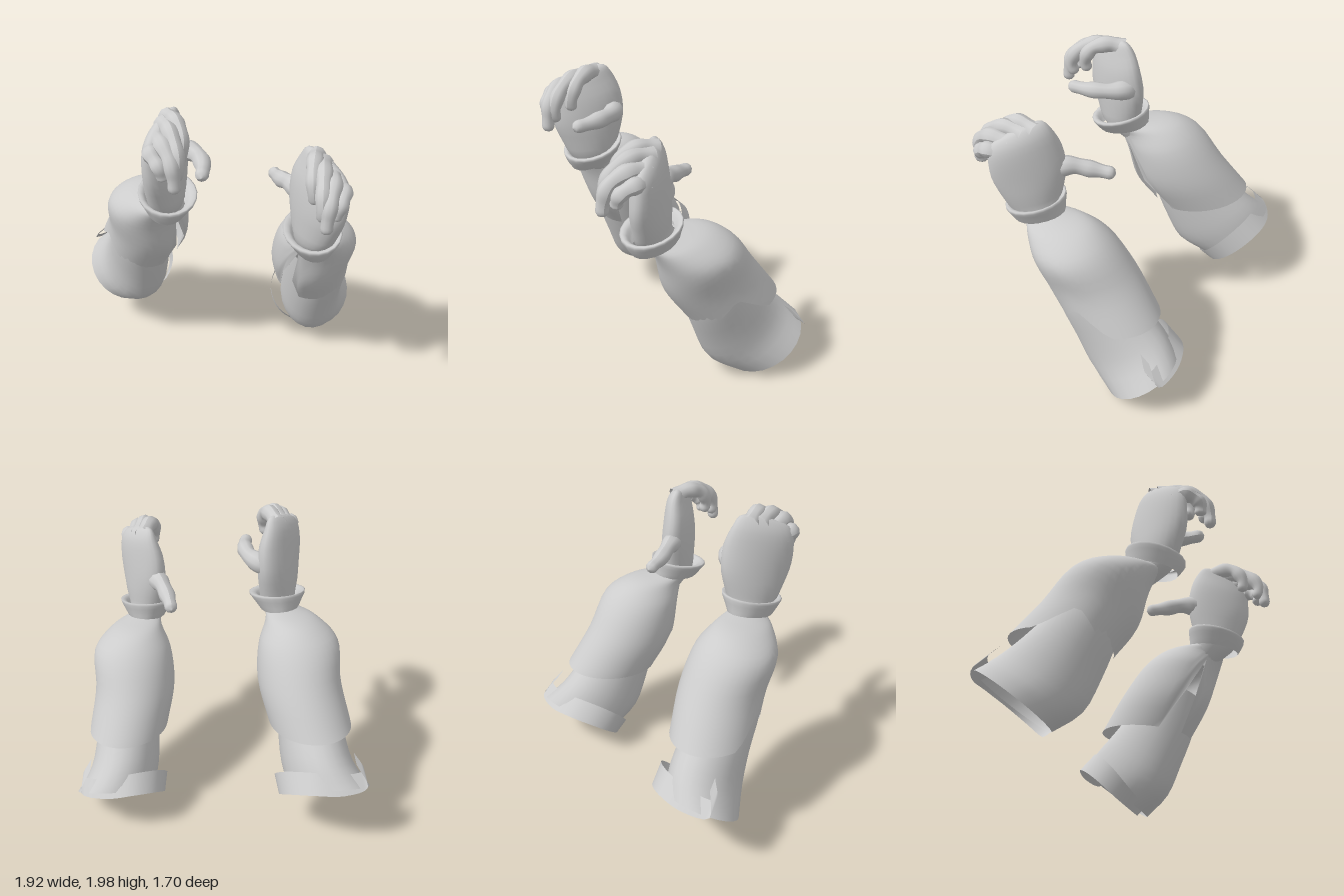
import * as THREE from 'three';

const cloth = new THREE.MeshStandardMaterial({ color: 0xcccccc, side: THREE.DoubleSide });
cloth.name = 'pale grey';

// Skin through oval rings [x, y, z, halfWidth, frontZ, frontY, frontX]; start(a) cuts the lower edge
function loft(rings, seg = 24, rows = 12, start = () => 0) {
  const pos = [], idx = [];
  for (let i = 0; i < seg; i++) {
    const a = (i / seg) * Math.PI * 2, c = Math.cos(a), s = Math.sin(a);
    const curve = new THREE.CatmullRomCurve3(rings.map(([x, y, z, w, fz, fy, fx = 0]) =>
      new THREE.Vector3(x + w * c + fx * s, y + fy * s, z + fz * s)));
    const t0 = start(a);
    for (let j = 0; j <= rows; j++) {
      const p = curve.getPoint(t0 + (1 - t0) * j / rows);
      pos.push(p.x, p.y, p.z);
    }
  }
  const n = rows + 1;
  for (let i = 0; i < seg; i++) {
    const k = (i + 1) % seg;
    for (let j = 0; j < rows; j++) {
      const a = i * n + j, b = k * n + j;
      idx.push(a, a + 1, b, a + 1, b + 1, b);
    }
  }
  return build(pos, idx);
}

function build(pos, idx) {
  const g = new THREE.BufferGeometry();
  g.setAttribute('position', new THREE.Float32BufferAttribute(pos, 3));
  g.setIndex(idx);
  g.computeVertexNormals();
  return g;
}

const path = pts => new THREE.CatmullRomCurve3(pts.map(p => new THREE.Vector3(...p)));

// Tapered tube with a rounded tip
function finger(pts, r0, r1) {
  const curve = path(pts), n = 40, m = 10;
  const g = new THREE.TubeGeometry(curve, n, 1, m, false), p = g.attributes.position;
  const v = new THREE.Vector3();
  for (let i = 0; i <= n; i++) {
    const t = i / n, c = curve.getPointAt(t);
    const tip = t > 0.9 ? Math.sqrt(Math.max(0, 1 - ((t - 0.9) / 0.1) ** 2)) : 1;
    const knuckle = 1 + 0.08 * Math.cos(t * Math.PI * 6);
    const r = (r0 + (r1 - r0) * t) * tip * knuckle;
    for (let j = 0; j <= m; j++) {
      const k = i * (m + 1) + j;
      v.fromBufferAttribute(p, k).sub(c).multiplyScalar(r).add(c);
      p.setXYZ(k, v.x, v.y, v.z);
    }
  }
  g.computeVertexNormals();
  return g;
}

// Flat band following a path
function ribbon(pts, [wx, wy, wz], n = 28) {
  const curve = path(pts), pos = [], idx = [];
  for (let i = 0; i <= n; i++) {
    const p = curve.getPoint(i / n), k = 0.55 + 0.45 * Math.sin(Math.PI * i / n);
    pos.push(p.x - wx * k, p.y - wy * k, p.z - wz * k, p.x + wx * k, p.y + wy * k, p.z + wz * k);
    if (i < n) idx.push(2 * i, 2 * i + 1, 2 * i + 2, 2 * i + 1, 2 * i + 3, 2 * i + 2);
  }
  return build(pos, idx);
}

// Sleeve hem: a notch on the outside, a deep slit between front panel and inner flap
function hem(a) {
  const outer = a > Math.PI ? a - 2 * Math.PI : a;
  const notch = 1 - Math.abs(outer - 0.2) / (outer > 0.2 ? 0.8 : 0.45);
  const slit = 1 - Math.abs(a - 2.36) / 0.27;
  return 0.17 * Math.max(0, notch) + 0.62 * Math.max(0, slit);
}

function armParts(thumb) {
  const parts = {
    lowerSleeve: loft([
      [0.71, 0.20, -0.34, 0.255, 0.225, -0.17, -0.03], [0.645, 0.32, -0.21, 0.225, 0.26, -0.165, -0.03],
      [0.62, 0.49, -0.09, 0.21, 0.24, -0.13, -0.02], [0.61, 0.72, 0.05, 0.20, 0.20, -0.10],
      [0.60, 0.90, 0.12, 0.18, 0.18, -0.08]]),
    upperSleeve: loft([
      [0.61, 0.58, -0.10, 0.26, 0.32, -0.045, -0.03], [0.56, 0.81, 0.055, 0.265, 0.305, -0.055, -0.02],
      [0.57, 1.025, 0.175, 0.255, 0.255, -0.055], [0.54, 1.13, 0.275, 0.17, 0.205, -0.045],
      [0.48, 1.16, 0.40, 0.10, 0.11, -0.03]], 40, 16, hem),
    cuff: loft([
      [0.475, 1.14, 0.43, 0.125, 0.17, -0.04], [0.47, 1.19, 0.445, 0.155, 0.185, -0.045],
      [0.465, 1.25, 0.455, 0.185, 0.195, -0.055], [0.47, 1.245, 0.455, 0.15, 0.17, -0.045],
      [0.47, 1.21, 0.45, 0.12, 0.14, -0.04]], 20, 12),
    // Palm is widest on the diagonal from the thumb side to the outer front
    palm: loft([
      [0.49, 1.08, 0.34, 0.09, 0.10, -0.03], [0.47, 1.19, 0.44, 0.11, 0.14, -0.03, 0.03],
      [0.475, 1.31, 0.46, 0.12, 0.175, -0.03, 0.06], [0.48, 1.44, 0.475, 0.12, 0.205, -0.03, 0.085],
      [0.49, 1.58, 0.49, 0.11, 0.195, -0.045, 0.095], [0.505, 1.68, 0.51, 0.085, 0.17, -0.06, 0.085],
      [0.505, 1.735, 0.525, 0.055, 0.135, -0.06, 0.075], [0.505, 1.755, 0.53, 0.025, 0.07, -0.035, 0.04],
      [0.505, 1.76, 0.53, 0.002, 0.002, 0]], 24, 20),
    elbowStrap: ribbon([
      [0.86, 0.48, -0.40], [0.92, 0.37, -0.47], [0.76, 0.38, -0.53], [0.57, 0.40, -0.52],
      [0.43, 0.35, -0.44], [0.37, 0.25, -0.33], [0.42, 0.13, -0.22], [0.60, 0.04, -0.13]], [-0.01, 0.05, 0.055]),
    thumb: finger(thumb, 0.07, 0.04),
  };
  // Four fingers curling over the palm, from the thumb side outward
  const fingers = [
    [[0.47, 1.74, 0.42], [0.44, 1.765, 0.52], [0.41, 1.73, 0.62], [0.405, 1.64, 0.67], [0.42, 1.56, 0.66]],
    [[0.50, 1.72, 0.48], [0.475, 1.74, 0.60], [0.445, 1.68, 0.73], [0.435, 1.58, 0.78], [0.445, 1.50, 0.76]],
    [[0.54, 1.67, 0.55], [0.52, 1.69, 0.67], [0.48, 1.63, 0.78], [0.46, 1.53, 0.81], [0.455, 1.44, 0.815]],
    [[0.57, 1.61, 0.60], [0.58, 1.63, 0.68], [0.54, 1.58, 0.76], [0.51, 1.50, 0.76]],
  ];
  fingers.forEach((pts, i) => { parts['finger' + (i + 1)] = finger(pts, 0.056, 0.038); });
  return parts;
}

// Mirror across x, keeping faces outward
function mirror(g) {
  g.scale(-1, 1, 1);
  const ix = g.index;
  for (let i = 0; i < ix.count; i += 3) {
    const b = ix.getX(i + 1);
    ix.setX(i + 1, ix.getX(i + 2));
    ix.setX(i + 2, b);
  }
  g.computeVertexNormals();
}

export function createModel() {
  const root = new THREE.Group();
  root.name = 'sleevedArms';
  const sides = [
    { name: 'leftArm', thumb: [[0.44, 1.42, 0.42], [0.37, 1.47, 0.27], [0.32, 1.44, 0.12], [0.295, 1.42, -0.02]] },
    { name: 'rightArm', flip: true, thumb: [[0.44, 1.40, 0.42], [0.37, 1.49, 0.36], [0.295, 1.51, 0.45], [0.27, 1.51, 0.60], [0.295, 1.50, 0.75]] },
  ];
  for (const { name, flip, thumb } of sides) {
    const arm = new THREE.Group();
    arm.name = name;
    for (const [part, g] of Object.entries(armParts(thumb))) {
      if (flip) mirror(g);
      const mesh = new THREE.Mesh(g, cloth);
      mesh.name = part;
      arm.add(mesh);
    }
    // The right arm is raised, drawn back and leans slightly inward
    if (flip) {
      arm.position.set(0, 0.16, -0.26);
      arm.rotation.z = -0.05;
    }
    root.add(arm);
  }
  return root;
}
